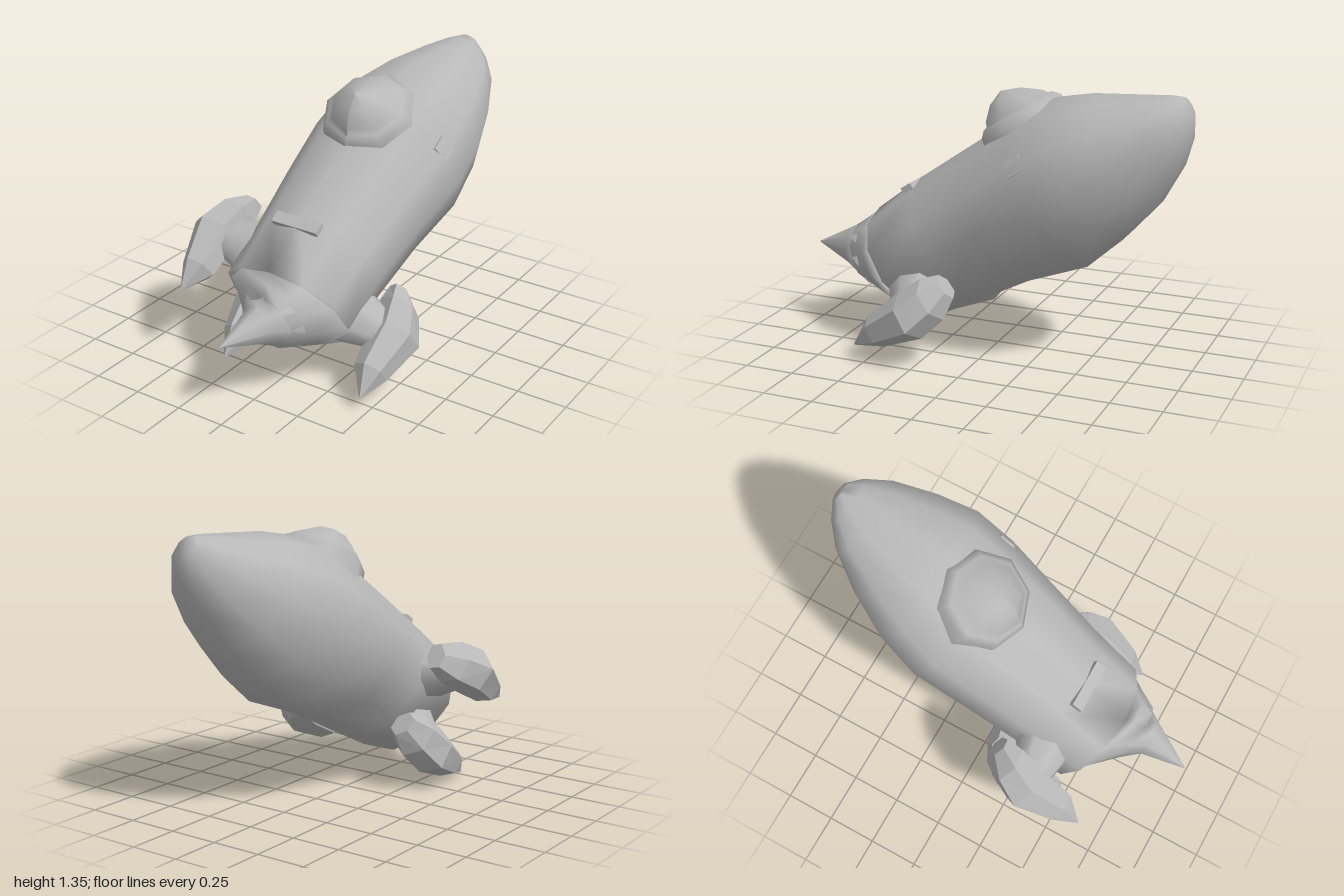
import * as THREE from 'three';

const grey = new THREE.MeshStandardMaterial({ color: 0xb8b8b8 });
grey.name = 'plain grey';

function mesh(name, geometry, x = 0, y = 0, z = 0) {
  const m = new THREE.Mesh(geometry, grey);
  m.name = name;
  m.position.set(x, y, z);
  return m;
}

// Loft along -z. Ring: [axial at top, top, axial at bottom, bottom, half width, x centre].
// waist is the height of the widest point within each ring, 0 to 1.
function loft(rings, sides, waist = 0.5) {
  const pos = [], index = [];
  for (const [aT, top, aB, bottom, hw, x] of rings) {
    for (let k = 0; k < sides; k++) {
      const p = (k / sides) * Math.PI * 2, c = Math.cos(p);
      const t = waist + c * (c > 0 ? 1 - waist : waist);
      pos.push(x + hw * Math.sin(p), bottom + (top - bottom) * t, -(aB + (aT - aB) * t));
    }
  }
  for (let i = 0; i < rings.length - 1; i++) {
    for (let k = 0; k < sides; k++) {
      const a = i * sides + k, b = i * sides + (k + 1) % sides;
      index.push(a, b, a + sides, b, b + sides, a + sides);
    }
  }
  // End caps
  const last = (rings.length - 1) * sides;
  for (let k = 1; k < sides - 1; k++) {
    index.push(0, k + 1, k, last, last + k, last + k + 1);
  }
  const g = new THREE.BufferGeometry();
  g.setAttribute('position', new THREE.Float32BufferAttribute(pos, 3));
  g.setIndex(index);
  g.computeVertexNormals();
  return g;
}

const straight = ([a, top, bottom, hw, x = 0]) => [a, top, a, bottom, hw, x];

function faceted(geometry) {
  const g = geometry.toNonIndexed();
  g.computeVertexNormals();
  return g;
}

// Pod with a pointed tail, held off the hull by a flared strut
function makeFin(name, degrees, shift, out) {
  const fin = new THREE.Group();
  fin.name = name;
  fin.rotation.z = THREE.MathUtils.degToRad(degrees - 90);
  const pod = faceted(loft([
    [-0.2, 0.492, 0.488, 0.002],
    [-0.06, 0.56, 0.39, 0.085],
    [0.16, 0.62, 0.365, 0.12],
    [0.29, 0.555, 0.35, 0.115],
    [0.37, 0.46, 0.36, 0.07],
  ].map(straight), 6));
  const strut = new THREE.CylinderGeometry(0.09, 0.15, 0.22, 8);
  strut.scale(0.85, 1, 1.1);
  fin.add(mesh('finPod', pod, 0, out, -shift), mesh('finStrut', strut, 0, 0.34 + out / 2, -shift - 0.15));
  return fin;
}

export function createModel() {
  const model = new THREE.Group();
  model.name = 'rocket';

  // Tilted frame: hull axis runs along local -z, starting at the tail
  const rocket = new THREE.Group();
  rocket.name = 'tiltedRocket';
  rocket.position.set(0.02, 0.385, 0.48);
  rocket.rotation.x = THREE.MathUtils.degToRad(32.5);
  model.add(rocket);

  // Hull, drifting slightly to +x towards the nose
  const hull = [
    [0, 0.30, -0.325, 0.33, 0],
    [0.3, 0.325, -0.355, 0.34, 0.015],
    [0.6, 0.335, -0.38, 0.37, 0.03],
    [0.92, 0.345, -0.445, 0.405, 0.05],
    [1.15, 0.34, -0.405, 0.385, 0.07],
    [1.35, 0.26, -0.345, 0.315, 0.09],
    [1.55, 0.15, -0.235, 0.22, 0.11],
    [1.66, 0.09, -0.14, 0.13, 0.12],
    [1.72, 0.05, -0.055, 0.05, 0.124],
  ].map(straight);
  rocket.add(mesh('hull', loft(hull, 11, 0.57)));

  // Nozzle and the exhaust flame bending level
  rocket.add(mesh('nozzle', loft([
    [-0.13, 0.28, -0.23, 0.02, 0.14, 0.045],
    [-0.06, 0.285, -0.12, -0.15, 0.23, 0.02],
    [0, 0.295, 0, -0.315, 0.32, 0],
  ], 11)));
  rocket.add(mesh('flame', loft([
    [-0.422, 0.303, -0.424, 0.299, 0.002, -0.01],
    [-0.175, 0.283, -0.273, 0.11, 0.095, 0.04],
    [-0.09, 0.28, -0.19, -0.05, 0.18, 0.04],
  ], 8)));

  // Raised cockpit window with a rim, its peak pushed towards the tail
  const profile = [[0.245, 0.24], [0.23, 0.335], [0.2, 0.365], [0.18, 0.37], [0.165, 0.395], [0.09, 0.455], [0, 0.49]];
  const dome = new THREE.LatheGeometry(profile.map(([r, h]) => new THREE.Vector2(r, h)), 8);
  const p = dome.attributes.position;
  for (let i = 0; i < p.count; i++) {
    p.setZ(i, p.getZ(i) + Math.max(0, p.getY(i) - 0.37) * 0.25);
  }
  dome.computeVertexNormals();
  rocket.add(mesh('cockpitWindow', dome, 0.03, 0, -0.95));

  // Small side hatch and the low ledge above the tail
  const hatch = mesh('sideHatch', new THREE.BoxGeometry(0.03, 0.085, 0.085), 0.392, 0.15, -0.958);
  hatch.rotation.z = THREE.MathUtils.degToRad(30);
  rocket.add(hatch);
  rocket.add(mesh('ledge', new THREE.BoxGeometry(0.25, 0.03, 0.06), 0.01, 0.312, -0.27));

  rocket.add(
    makeFin('leftFin', -26, -0.04, 0.01),
    makeFin('rightUpperFin', 168, 0.05, 0.03),
    makeFin('rightLowerFin', 219, -0.05, -0.02),
  );
  return model;
}
